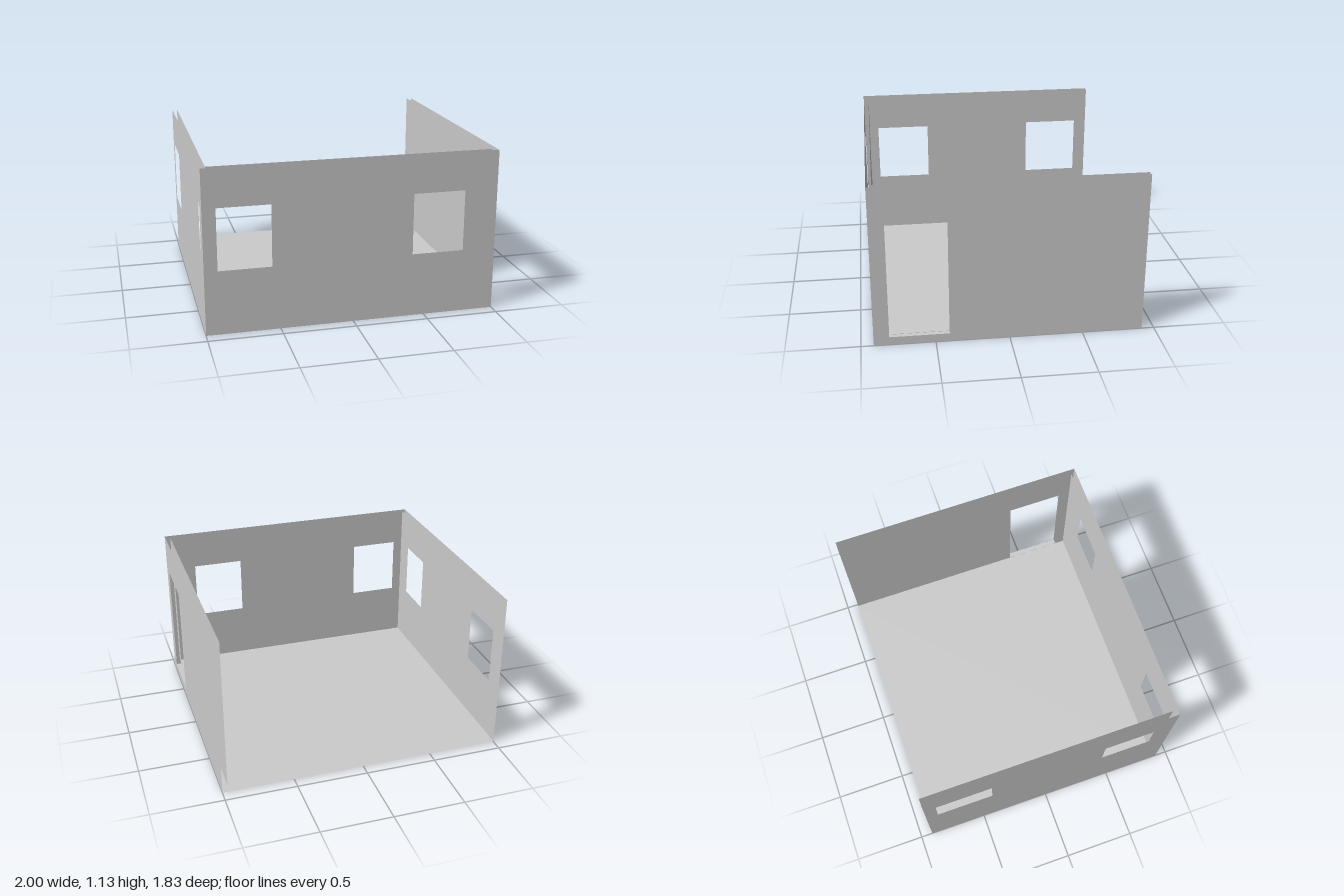
import * as THREE from 'three';

const X = 1, Z = 0.915, H = 1.135, T = 0.037, FLOOR = 0.055;
const SILL = 0.43, HEAD = 0.87;

// openings as [start, end, bottom, top], along x for the front and z for the sides
const frontWindows = [[-0.91, -0.545, SILL, HEAD], [0.41, 0.785, SILL, HEAD]];
const sideWindows = [[-0.83, -0.415, SILL, HEAD], [0.405, 0.81, SILL, HEAD]];
const doorway = [[0.405, 0.81, FLOOR + 0.002, HEAD]];

export function createModel() {
  const group = new THREE.Group();
  const material = new THREE.MeshStandardMaterial({ color: 0xcccccc, side: THREE.DoubleSide });

  const add = (name, geometry) => {
    const mesh = new THREE.Mesh(geometry, material);
    mesh.name = name;
    group.add(mesh);
    return mesh;
  };

  const rect = (Type, a, b, bottom, top) => new Type([
    new THREE.Vector2(a, bottom), new THREE.Vector2(b, bottom),
    new THREE.Vector2(b, top), new THREE.Vector2(a, top),
  ]);

  // flat sheet with openings, in its own plane
  const sheet = (a, b, bottom, openings) => {
    const shape = rect(THREE.Shape, a, b, bottom, H);
    for (const o of openings) shape.holes.push(rect(THREE.Path, ...o));
    return new THREE.ShapeGeometry(shape);
  };

  // sheet across the front, facing out (1) or in (-1)
  const frontSheet = (name, z, half, bottom, facing) => {
    const holes = frontWindows.map(([a, b, c, d]) => [facing * a, facing * b, c, d]);
    const g = sheet(-half, half, bottom, holes);
    if (facing < 0) g.rotateY(Math.PI);
    add(name, g.translate(0, 0, z));
  };

  // sheet along a side, facing +x (1) or -x (-1)
  const sideSheet = (name, x, front, bottom, openings, facing) => {
    const holes = openings.map(([a, b, c, d]) => [-facing * a, -facing * b, c, d]);
    const g = sheet(facing * Z, -facing * front, bottom, holes);
    add(name, g.rotateY(facing * Math.PI / 2).translate(x, 0, 0));
  };

  // outer and inner wall skins, open along the top and back
  frontSheet('frontWallOuter', Z, X, 0, 1);
  frontSheet('frontWallInner', Z - T, X - T, FLOOR, -1);
  for (const [side, s, openings] of [['left', 1, doorway], ['right', -1, sideWindows]]) {
    sideSheet(`${side}WallOuter`, s * X, Z, 0, openings, s);
    sideSheet(`${side}WallInner`, s * (X - T), Z - T, FLOOR, openings, -s);
  }

  // underside, raised floor and door threshold
  const slab = (name, x0, x1, z0, z1, y, facing) => add(name,
    new THREE.PlaneGeometry(x1 - x0, z1 - z0)
      .rotateX(-facing * Math.PI / 2)
      .translate((x0 + x1) / 2, y, (z0 + z1) / 2));
  slab('underside', -X, X, -Z, Z, 0, -1);
  slab('floor', -X + T, X - T, -Z, Z - T, FLOOR, 1);
  slab('doorThreshold', X - T, X, doorway[0][0], doorway[0][1], FLOOR, 1);

  return group;
}
